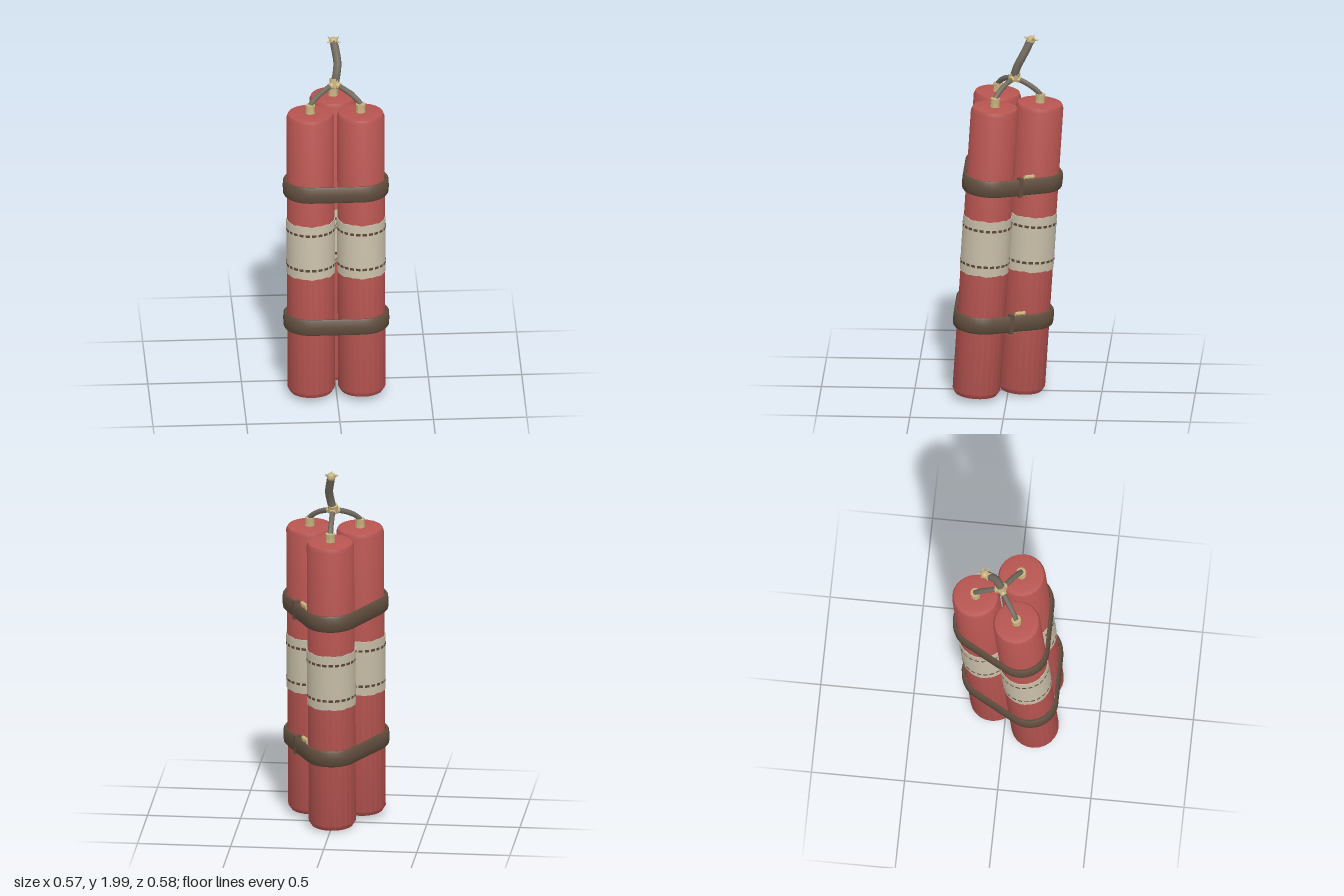
import * as THREE from 'three';
import { mergeGeometries, mergeVertices, toCreasedNormals } from 'three/addons/utils/BufferGeometryUtils.js';

const material = (name, color, extra = {}) => {
  const m = new THREE.MeshStandardMaterial({ color, ...extra });
  m.name = name;
  return m;
};
const V2 = (x, y) => new THREE.Vector2(x, y);
const V3 = (x, y, z) => new THREE.Vector3(x, y, z);

const R = 0.127;      // stick radius
const SPREAD = 0.156; // stick distance from the bundle axis
const ANGLES = [30, 150, 270].map(THREE.MathUtils.degToRad);

function add(parent, name, geometry, mat) {
  const mesh = new THREE.Mesh(geometry, mat);
  mesh.name = name;
  parent.add(mesh);
  return mesh;
}

// Cylinder running from a to b
function rod(parent, name, a, b, r0, r1, sides, mat) {
  const d = b.clone().sub(a);
  const geo = toCreasedNormals(new THREE.CylinderGeometry(r1, r0, d.length(), sides), 0.6);
  const mesh = add(parent, name, geo, mat);
  mesh.position.copy(a).addScaledVector(d, 0.5);
  mesh.quaternion.setFromUnitVectors(V3(0, 1, 0), d.normalize());
  return mesh;
}

// Band around the three sticks: a rounded profile swept along their hull
function strapGeometry() {
  const profile = [[0.13, -0.043], [0.14, -0.045], [0.147, -0.036], [0.149, 0],
    [0.147, 0.036], [0.14, 0.045], [0.13, 0.043], [0.128, 0]];
  const pos = [], index = [], n = profile.length, steps = 10;
  for (const a of ANGLES) {
    for (let i = 0; i <= steps; i++) {
      const t = a + (i / steps - 0.5) * Math.PI * 2 / 3;
      for (const [r, y] of profile) {
        pos.push(SPREAD * Math.cos(a) + r * Math.cos(t), y, SPREAD * Math.sin(a) + r * Math.sin(t));
      }
    }
  }
  const rows = pos.length / 3 / n;
  for (let i = 0; i < rows; i++) {
    for (let j = 0; j < n; j++) {
      const i2 = (i + 1) % rows, j2 = (j + 1) % n;
      const a = i * n + j, b = i * n + j2, c = i2 * n + j2, d = i2 * n + j;
      index.push(a, b, c, a, c, d);
    }
  }
  const geo = new THREE.BufferGeometry();
  geo.setAttribute('position', new THREE.Float32BufferAttribute(pos, 3));
  geo.setIndex(index);
  return toCreasedNormals(geo, 0.7);
}

// Paper wrapper with slightly ragged edges
function wrapperGeometry() {
  const geo = new THREE.LatheGeometry(
    [V2(0.125, 0.7), V2(0.1305, 0.7), V2(0.1305, 1.007), V2(0.125, 1.007)], 48);
  const p = geo.attributes.position;
  for (let i = 0; i < p.count; i++) {
    const a = Math.atan2(p.getZ(i), p.getX(i));
    p.setY(i, p.getY(i) + 0.004 * Math.sin(a * 11) * Math.cos(a * 4));
  }
  return toCreasedNormals(geo, 0.6);
}

// Two rows of dashes around the wrapper
function stitchGeometry() {
  const parts = [], count = 24, step = Math.PI * 2 / count;
  for (const y of [0.753, 0.955]) {
    for (let i = 0; i < count; i++) {
      parts.push(new THREE.CylinderGeometry(0.1325, 0.1325, 0.014, 2, 1, true, i * step, step * 0.68)
        .translate(0, y, 0));
    }
  }
  return mergeGeometries(parts);
}

export function createModel() {
  const red = material('red casing', 0xb85551);
  const paper = material('cream paper', 0xc9bfa9);
  const leather = material('brown leather', 0x604e3e);
  const cord = material('grey cord', 0x716a5e);
  const brass = material('pale brass', 0xc8b37f);
  const stitch = material('brown stitching', 0x5c4636, { side: THREE.DoubleSide });

  const model = new THREE.Group();
  model.name = 'stickBundle';

  // Bundle leaning slightly backwards
  const bundle = new THREE.Group();
  bundle.name = 'bundle';
  bundle.position.set(0, 0.02, 0.088);
  bundle.rotation.x = -0.0625;
  model.add(bundle);

  // Sticks with wrapper, stitching and fuse collar
  const casing = toCreasedNormals(new THREE.LatheGeometry([
    V2(0.012, 0.004), V2(0.085, 0), V2(0.112, 0.006), V2(R, 0.03), V2(R, 1.595),
    V2(0.119, 1.615), V2(0.09, 1.621), V2(0.012, 1.618)], 24), 0.6);
  const wrapper = wrapperGeometry();
  const stitches = stitchGeometry();
  const collar = toCreasedNormals(new THREE.LatheGeometry([
    V2(0.027, 1.61), V2(0.024, 1.635), V2(0.026, 1.665), V2(0.001, 1.667)], 10), 0.4);
  for (const a of ANGLES) {
    const stick = new THREE.Group();
    stick.name = 'stick';
    stick.position.set(SPREAD * Math.cos(a), 0, SPREAD * Math.sin(a));
    add(stick, 'casing', casing, red);
    add(stick, 'wrapper', wrapper, paper);
    add(stick, 'stitching', stitches, stitch);
    add(stick, 'fuseCollar', collar, brass);
    bundle.add(stick);
  }

  // Straps with a buckle tucked behind them on the left rear side
  const strapGeo = strapGeometry();
  for (const y of [0.425, 1.195]) {
    add(bundle, 'strap', strapGeo, leather).position.y = y;
    const buckle = new THREE.Group();
    buckle.name = 'buckle';
    buckle.position.set(0.196, y, -0.113);
    buckle.rotation.y = Math.PI / 6; // local x points outward, local -z runs to the back stick
    for (const s of [-1, 1]) {
      rod(buckle, 'buckleBar', V3(-0.036, s * 0.047, -0.012), V3(-0.036, s * 0.047, -0.068), 0.011, 0.011, 8, brass);
      rod(buckle, 'bucklePost', V3(-0.036, -0.047, -0.04 + s * 0.024), V3(-0.036, 0.047, -0.04 + s * 0.024), 0.007, 0.007, 8, brass);
    }
    add(buckle, 'strapKeeper', new THREE.BoxGeometry(0.034, 0.105, 0.022), leather).position.set(-0.016, 0, 0.023);
    bundle.add(buckle);
  }

  // Fuse branches meeting above the sticks
  const joint = V3(0, 1.762, -0.032);
  for (const [x, y, z] of [[-0.135, 1.685, 0.062], [0.135, 1.685, 0.062], [0, 1.668, -0.172]]) {
    const end = V3(x, y, z);
    const bend = V3(x * 0.72, y + 0.052, joint.z + (z - joint.z) * 0.72);
    const curve = new THREE.QuadraticBezierCurve3(end, bend, joint);
    add(model, 'fuseBranch', new THREE.TubeGeometry(curve, 8, 0.0145, 8), cord);
    rod(model, 'branchCollar', curve.getPoint(0.85), curve.getPoint(0.99), 0.018, 0.019, 8, brass);
  }
  rod(model, 'jointCollar', V3(0, 1.745, -0.027), V3(0, 1.79, -0.04), 0.025, 0.027, 8, brass);

  // Main fuse with a gentle bend
  const main = new THREE.CatmullRomCurve3([V3(0, 1.76, -0.031), V3(0.012, 1.82, -0.045),
    V3(0.017, 1.87, -0.068), V3(0.01, 1.92, -0.094), V3(0, 1.972, -0.118)]);
  add(model, 'mainFuse', new THREE.TubeGeometry(main, 14, 0.022, 9), cord);

  // Frayed tip: knob with small spikes
  const tip = V3(0, 1.973, -0.12);
  const knob = toCreasedNormals(mergeVertices(new THREE.SphereGeometry(0.024, 10, 7)), 0.8);
  add(model, 'fuseTip', knob, brass).position.copy(tip);
  for (let i = 0; i < 6; i++) {
    const a = (i + 0.5) * Math.PI / 3;
    const dir = V3(Math.cos(a), i % 2 ? 0.55 : 0.05, Math.sin(a)).normalize();
    rod(model, 'tipSpike', tip.clone().addScaledVector(dir, 0.016), tip.clone().addScaledVector(dir, 0.04),
      0.009, 0.002, 5, brass);
  }
  return model;
}
